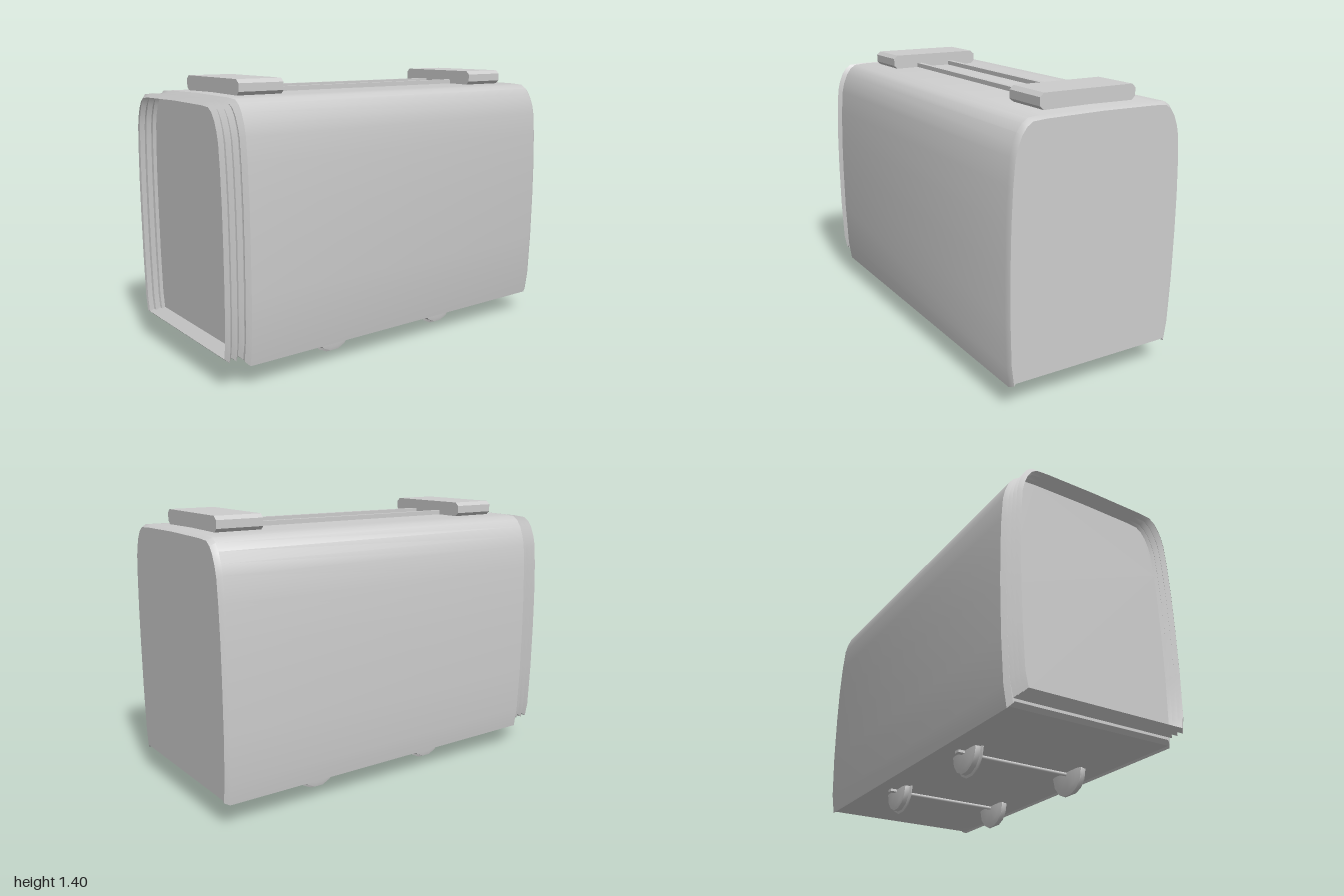
import * as THREE from 'three';
import { toCreasedNormals } from 'three/addons/utils/BufferGeometryUtils.js';

// right half of the carriage cross-section, from floor to roof
const HALF = [[0.442, 0.125], [0.45, 0.115], [0.465, 0.22], [0.474, 0.45], [0.476, 0.7], [0.474, 0.88],
  [0.467, 1.05], [0.457, 1.17], [0.445, 1.22], [0.425, 1.27], [0.4, 1.305], [0.37, 1.325], [0.3, 1.33], [0, 1.334]];
// the bellows follow the same outline, with a higher floor
const BELLOWS = HALF.slice(1).map(([x, y], i) => [x, i === 0 ? 0.14 : y]);

const mirrored = (half) => [...half, ...half.slice(0, -1).reverse().map(([x, y]) => [-x, y])];

// shrink an outline by roughly a fixed distance on every side
const inset = (pts, d) => pts.map(([x, y]) => [x * (1 - d / 0.475), 0.72 + (y - 0.72) * (1 - d / 0.61)]);

// skin a series of outlines [z, inset], running from back to front
function loft(half, stations, capped) {
  const pts = mirrored(half), n = pts.length, pos = [], idx = [];
  stations.forEach(([z, d]) => inset(pts, d).forEach(([x, y]) => pos.push(x, y, z)));
  for (let s = 0; s < stations.length - 1; s++) {
    for (let i = 0; i < n; i++) {
      const a = s * n + i, b = s * n + (i + 1) % n;
      idx.push(a, b, b + n, a, b + n, a + n);
    }
  }
  if (capped) {
    const tris = THREE.ShapeUtils.triangulateShape(pts.map((p) => new THREE.Vector2(...p)), []);
    const last = (stations.length - 1) * n;
    for (const [a, b, c] of tris) idx.push(a, c, b, last + a, last + b, last + c);
  }
  const g = new THREE.BufferGeometry();
  g.setAttribute('position', new THREE.Float32BufferAttribute(pos, 3));
  g.setIndex(idx);
  return toCreasedNormals(g, 0.6);
}

export function createModel() {
  const model = new THREE.Group();
  model.name = 'railCarriage';
  const grey = new THREE.MeshStandardMaterial({ color: 0xcccccc, side: THREE.DoubleSide });
  grey.name = 'light grey';

  function add(name, geometry, x = 0, y = 0, z = 0) {
    const mesh = new THREE.Mesh(geometry, grey);
    mesh.name = name;
    mesh.position.set(x, y, z);
    model.add(mesh);
    return mesh;
  }

  // shell with bevelled ends
  add('body', loft(HALF, [[-1, 0.013], [-0.975, 0], [0.88, 0], [0.9, 0.02]], true));

  // open concertina gangway at the front
  const folds = [];
  for (let i = 0; i <= 6; i++) folds.push([0.895 + i * 0.0175, i % 2 ? 0.012 : 0.03]);
  add('bellows', loft(BELLOWS, folds, false));

  // roof boxes with clipped corners, joined by two conduits
  const box = new THREE.Shape();
  [[-0.24, 0], [0.24, 0], [0.26, 0.018], [0.26, 0.057], [0.24, 0.075], [-0.24, 0.075], [-0.26, 0.057], [-0.26, 0.018]]
    .forEach(([x, y], i) => (i ? box.lineTo(x, y) : box.moveTo(x, y)));
  for (const z of [-0.9, 0.56]) {
    add('roofBox', new THREE.ExtrudeGeometry(box, { depth: 0.24, bevelEnabled: false }), 0, 1.33, z);
  }
  for (const x of [-0.1, 0.1]) add('roofConduit', new THREE.BoxGeometry(0.026, 0.03, 1.24), x, 1.34, -0.05);

  // wheel profile from the outer hub to the inner flange
  const profile = [[0, 0.025], [0.085, 0.025], [0.105, 0.02], [0.108, -0.005], [0.12, -0.01], [0.117, -0.017], [0.09, -0.025], [0, -0.025]]
    .map(([r, h]) => new THREE.Vector2(r, h)).reverse();
  const wheel = toCreasedNormals(new THREE.LatheGeometry(profile, 14), 0.6);
  for (const z of [0.315, -0.405]) {
    const axle = add('axle', new THREE.CylinderGeometry(0.01, 0.01, 0.56, 8), 0, 0.116, z);
    axle.rotation.z = Math.PI / 2;
    for (const side of [-1, 1]) {
      add('wheel', wheel, side * 0.3, 0.122, z).rotation.z = -side * Math.PI / 2;
      add('axleEnd', new THREE.BoxGeometry(0.06, 0.016, 0.03), side * 0.33, 0.12, z);
    }
  }
  return model;
}
